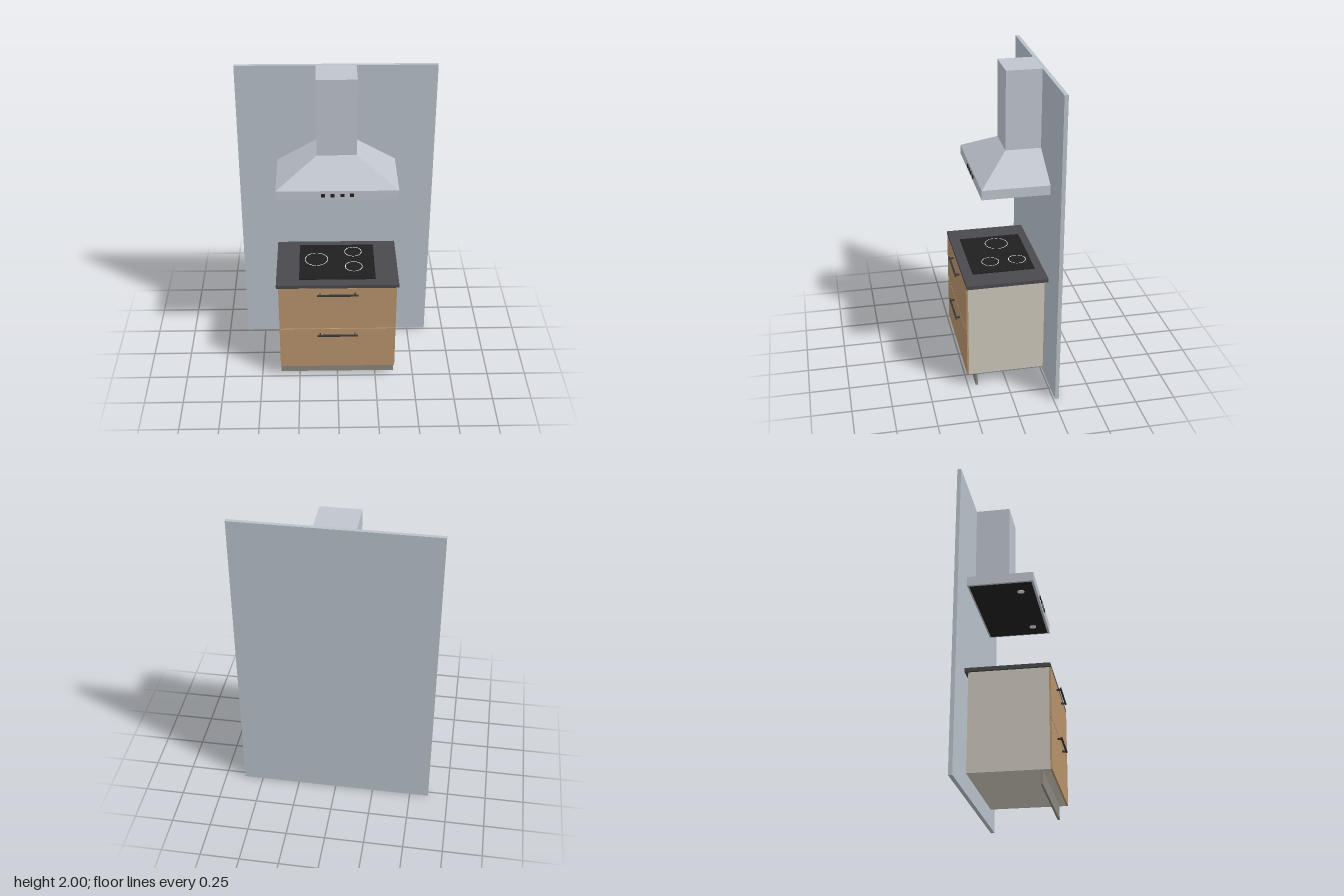
import * as THREE from 'three';

const mat = (name, color) => {
  const m = new THREE.MeshStandardMaterial({ color });
  m.name = name;
  return m;
};

export function createModel() {
  const wall = mat('wall panel grey', 0xb8c2ca);
  const steel = mat('brushed steel', 0xbfc4cd);
  const wood = mat('wood', 0xb8946c);
  const carcass = mat('cabinet beige', 0xccc7ba);
  const plinthGrey = mat('plinth grey', 0x8a877e);
  const stone = mat('worktop charcoal', 0x4a494e);
  const black = mat('black glass', 0x202021);
  const handleGrey = mat('handle dark grey', 0x38383b);
  const pale = mat('pale marking', 0xe6e6e4);

  const root = new THREE.Group();
  root.name = 'cookerUnit';

  const add = (name, geometry, material, parent = root) => {
    const mesh = new THREE.Mesh(geometry, material);
    mesh.name = name;
    parent.add(mesh);
    return mesh;
  };
  // Box given by its extents on each axis
  const box = (name, material, [x0, x1], [y0, y1], [z0, z1], parent = root) => {
    const mesh = add(name, new THREE.BoxGeometry(x1 - x0, y1 - y0, z1 - z0), material, parent);
    mesh.position.set((x0 + x1) / 2, (y0 + y1) / 2, (z0 + z1) / 2);
    return mesh;
  };
  const group = (name) => {
    const g = new THREE.Group();
    g.name = name;
    root.add(g);
    return g;
  };

  const wallZ = -0.261;
  box('wallPanel', wall, [-0.622, 0.622], [0, 2], [-0.285, wallZ]);

  // Base cabinet with two drawers
  const cabinet = group('cabinet');
  box('carcass', carcass, [-0.374, 0.374], [0.087, 0.712], [-0.24, 0.243], cabinet);
  box('plinth', plinthGrey, [-0.374, 0.374], [0, 0.087], [0.187, 0.2], cabinet);
  const drawers = [[0.087, 0.393, 0.357], [0.398, 0.712, 0.674]];
  for (const [y0, y1, handleY] of drawers) {
    box('drawerFront', wood, [-0.375, 0.375], [y0, y1], [0.243, 0.254], cabinet);
    const handle = new THREE.Group();
    handle.name = 'drawerHandle';
    cabinet.add(handle);
    const ySpan = [handleY - 0.005, handleY + 0.005];
    box('handleBar', handleGrey, [-0.131, 0.131], ySpan, [0.275, 0.285], handle);
    for (const x of [-0.112, 0.112]) {
      box('handlePost', handleGrey, [x - 0.004, x + 0.004], ySpan, [0.254, 0.275], handle);
    }
  }
  box('worktop', stone, [-0.389, 0.389], [0.712, 0.735], [wallZ, 0.253]);

  // Hob with its ring markings
  const hob = group('hob');
  box('hobGlass', black, [-0.243, 0.243], [0.735, 0.741], [-0.207, 0.189], hob);
  for (const [x, z, r] of [[-0.133, -0.035, 0.076], [0.108, -0.122, 0.057], [0.108, 0.052, 0.057]]) {
    const ring = add('cookingZoneRing', new THREE.RingGeometry(r - 0.005, r, 48), pale, hob);
    ring.rotation.x = -Math.PI / 2;
    ring.position.set(x, 0.7425, z);
  }

  // Extractor hood: rim, sloped canopy and chimney
  const hood = group('extractorHood');
  const frontZ = 0.154, chimneyZ = -0.04, halfW = 0.375, chimneyX = 0.124;
  box('hoodRim', steel, [-halfW, halfW], [1.3, 1.36], [wallZ, frontZ], hood);
  const canopy = new THREE.BoxGeometry(1, 1, 1);
  const p = canopy.attributes.position;
  for (let i = 0; i < p.count; i++) {
    const top = p.getY(i) > 0;
    p.setXYZ(
      i,
      Math.sign(p.getX(i)) * (top ? chimneyX : halfW),
      top ? 1.502 : 1.36,
      p.getZ(i) < 0 ? wallZ : top ? chimneyZ : frontZ
    );
  }
  canopy.computeVertexNormals();
  add('hoodCanopy', canopy, steel, hood);
  box('chimney', steel, [-chimneyX, chimneyX], [1.502, 2], [wallZ, chimneyZ], hood);
  box('greaseFilter', black, [-0.36, 0.36], [1.297, 1.3], [-0.25, 0.14], hood);
  for (const x of [-0.25, 0.25]) {
    const lamp = add('hoodLamp', new THREE.CylinderGeometry(0.022, 0.022, 0.004, 24), pale, hood);
    lamp.position.set(x, 1.2955, 0.057);
  }
  for (const x of [-0.088, -0.03, 0.03, 0.088]) {
    box('hoodButton', black, [x - 0.012, x + 0.012], [1.32, 1.341], [frontZ, frontZ + 0.005], hood);
  }
  return root;
}
